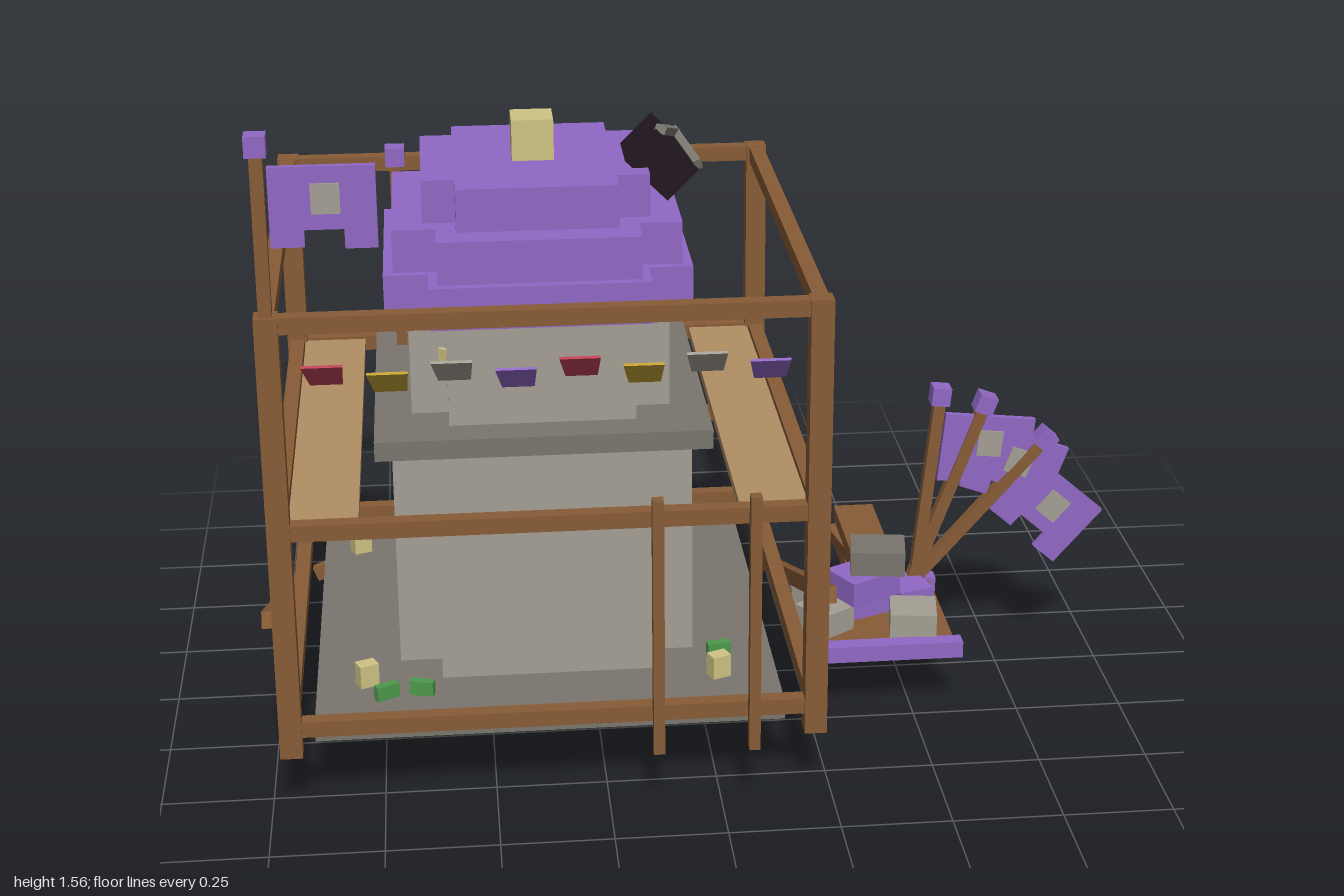
import * as THREE from 'three';

const mat = (name, color) => {
  const m = new THREE.MeshStandardMaterial({ color, side: THREE.DoubleSide, flatShading: true });
  m.name = name;
  return m;
};

export function createModel() {
  const wood = mat('wood', 0x875c36), plank = mat('light wood', 0xb18f64);
  const stone = mat('stone', 0xa49f94), slate = mat('dark stone', 0x7a766e);
  const purple = mat('purple', 0x9068c5), cream = mat('cream', 0xcfc383);
  const black = mat('black', 0x221820), red = mat('red', 0xbd4355);
  const gold = mat('gold', 0xc2a034), green = mat('green', 0x4f9a4c);

  const root = new THREE.Group();
  root.name = 'towerScaffold';
  const CX = -0.368, CZ = -0.025;

  const add = (name, geo, m, x = 0, y = 0, z = 0, parent = root) => {
    const mesh = new THREE.Mesh(geo, m);
    mesh.name = name;
    mesh.position.set(x, y, z);
    parent.add(mesh);
    return mesh;
  };
  const box = (name, m, w, h, d, x, y, z, parent) =>
    add(name, new THREE.BoxGeometry(w, h, d), m, x, y, z, parent);
  // Box given by its extents on each axis
  const span = (name, m, x0, x1, y0, y1, z0, z1) =>
    box(name, m, x1 - x0, y1 - y0, z1 - z0, (x0 + x1) / 2, (y0 + y1) / 2, (z0 + z1) / 2);
  // Straight bar between two points
  const bar = (name, m, p, q, w, d, parent) => {
    const a = new THREE.Vector3(...p), b = new THREE.Vector3(...q);
    const mid = a.clone().add(b).multiplyScalar(0.5), dir = b.sub(a);
    const mesh = box(name, m, w, dir.length(), d, mid.x, mid.y, mid.z, parent);
    mesh.quaternion.setFromUnitVectors(new THREE.Vector3(0, 1, 0), dir.normalize());
    return mesh;
  };
  const extrude = (pts, depth) => new THREE.ExtrudeGeometry(
    new THREE.Shape(pts.map(p => new THREE.Vector2(...p))), { depth, bevelEnabled: false });
  // Square tier with notched corners
  const tier = (name, m, h, n, y0, y1) => {
    const geo = extrude([[h, -n], [h, n], [n, n], [n, h], [-n, h], [-n, n],
      [-h, n], [-h, -n], [-n, -n], [-n, -h], [n, -h], [n, -n]], y1 - y0);
    geo.rotateX(-Math.PI / 2);
    add(name, geo, m, CX, y0, CZ);
  };

  // Tower
  span('basePlate', slate, -0.9, 0.155, 0.15, 0.195, -0.553, 0.507);
  tier('lowerBody', stone, 0.341, 0.245, 0.195, 0.757);
  span('ledge', slate, -0.745, 0.008, 0.755, 0.8, -0.4, 0.352);
  tier('upperBody', stone, 0.293, 0.21, 0.8, 1.045);
  tier('roofLower', purple, 0.344, 0.245, 1.045, 1.142);
  tier('roofMiddle', purple, 0.322, 0.225, 1.142, 1.24);
  tier('roofUpper', purple, 0.254, 0.18, 1.24, 1.338);
  box('roofFinial', cream, 0.095, 0.095, 0.095, CX, 1.385, CZ);
  box('cornerLight', cream, 0.022, 0.075, 0.009, CX - 0.218, 0.92, CZ + 0.218).rotation.y = -Math.PI / 4;
  span('backPole', wood, -0.695, -0.67, 0.8, 1.25, -0.285, -0.26);
  box('backPoleCap', purple, 0.045, 0.045, 0.045, -0.682, 1.273, -0.272);

  // Tilted box with a wedge mark on its upper face
  const crate = new THREE.Group();
  crate.name = 'tiltedBox';
  crate.position.set(-0.08, 1.345, 0.031);
  crate.rotation.z = -Math.PI / 4;
  root.add(crate);
  box('boxBody', black, 0.135, 0.1, 0.145, 0, -0.004, 0, crate);
  for (const s of [-1, 1]) {
    bar('boxMark', slate, [0, 0.052, -0.068], [s * 0.06, 0.052, 0.066], 0.026, 0.018, crate);
  }

  // Timber frame
  const X0 = -0.95, X1 = 0.215, Z0 = -0.603, Z1 = 0.557;
  for (const x of [X0, X1]) {
    for (const z of [Z0, Z1]) span('post', wood, x - 0.025, x + 0.025, 0.15, 1.18, z - 0.025, z + 0.025);
  }
  for (const y of [0.216, 0.688, 1.16]) {
    for (const x of [X0, X1]) bar('sideBeam', wood, [x, y, Z0], [x, y, Z1], 0.035, 0.037);
    for (const z of [Z0, Z1]) bar('crossBeam', wood, [X0, y, z], [X1, y, z], 0.037, 0.035);
  }
  span('leftWalkway', plank, -0.93, -0.78, 0.678, 0.7, -0.59, 0.54);
  span('rightWalkway', plank, 0.045, 0.195, 0.678, 0.7, -0.59, 0.54);
  for (const x of [-0.987, 0.25]) bar('sideBrace', wood, [x, 0.472, 0.54], [x, 0.024, -0.59], 0.025, 0.038);
  bar('backBrace', wood, [-0.94, 0.024, -0.641], [0.185, 0.472, -0.641], 0.038, 0.025);
  for (const x of [-0.142, 0.07]) box('frontStake', wood, 0.025, 0.61, 0.028, x, 0.455, 0.63);

  // Flag on a capped pole
  const flagPole = (name, length, x, y, z, tilt) => {
    const g = new THREE.Group();
    g.name = name;
    g.position.set(x, y, z);
    g.rotation.z = tilt;
    root.add(g);
    box('pole', wood, 0.028, length, 0.028, 0, length / 2, 0, g);
    box('poleCap', purple, 0.045, 0.045, 0.045, 0, length + 0.022, 0, g);
    const cloth = extrude([[0.02, 0], [0.24, 0], [0.24, -0.177], [0.172, -0.177],
      [0.172, -0.135], [0.09, -0.135], [0.09, -0.172], [0.02, -0.172]], 0.016);
    add('flagCloth', cloth, purple, 0, length - 0.025, -0.008, g);
    for (const s of [-1, 1]) {
      box('flagPatch', stone, 0.06, 0.065, 0.004, 0.136, length - 0.093, s * 0.01, g);
    }
  };
  flagPole('cornerFlag', 0.345, -0.95, 1.18, 0.557, 0);
  flagPole('leaningFlagA', 0.46, 0.545, 0.235, -0.022, -0.1);
  flagPole('leaningFlagB', 0.462, 0.537, 0.235, -0.022, -0.35);
  flagPole('leaningFlagC', 0.445, 0.547, 0.238, -0.022, -0.715);

  // Bunting
  const colours = [red, gold, stone, purple];
  for (let i = 0; i < 8; i++) {
    const geo = extrude([[-0.043, 0.043], [0.043, 0.043], [0.04, -0.043], [-0.028, -0.043]], 0.006);
    const p = add('pennant', geo, colours[i % 4], -0.836 + i * 0.133, i % 2 ? 1.05 : 1.07, 0.62);
    p.rotation.x = Math.PI / 4;
  }

  // Side platform with a heap of blocks and boards
  span('platformFloor', wood, 0.25, 0.6, 0.16, 0.182, -0.12, 0.22);
  span('platformRail', purple, 0.25, 0.615, 0.15, 0.19, -0.145, -0.108);
  span('platformRail', purple, 0.25, 0.615, 0.15, 0.19, 0.21, 0.25);
  const heap = [
    [stone, 0.3, 0.215, 0.13, 0.1, 0.06, 0.1, 0.6],
    [stone, 0.31, 0.215, -0.01, 0.1, 0.06, 0.1, 0.75],
    [stone, 0.51, 0.215, 0.155, 0.11, 0.06, 0.11, -0.15],
    [purple, 0.52, 0.215, 0.025, 0.09, 0.06, 0.1, 0.3],
    [purple, 0.4, 0.215, 0.03, 0.11, 0.06, 0.11, 0.4],
    [purple, 0.4, 0.28, 0.08, 0.14, 0.06, 0.11, 0.5],
    [purple, 0.46, 0.28, 0.01, 0.06, 0.055, 0.08, -0.3],
    [slate, 0.434, 0.345, 0.077, 0.13, 0.06, 0.11, -0.15],
  ];
  for (const [m, x, y, z, w, h, d, turn] of heap) box('heapBlock', m, w, h, d, x, y, z).rotation.y = turn;
  bar('looseBoard', wood, [0.45, 0.252, 0], [0.45, 0.252, -0.39], 0.1, 0.036);
  bar('looseBoard', wood, [0.46, 0.212, -0.03], [0.4, 0.212, -0.365], 0.04, 0.04);
  bar('looseBoard', wood, [0.45, 0.17, -0.1], [0.45, 0.17, -0.38], 0.09, 0.038);

  // Small plants on the base
  for (const [x, z] of [[-0.785, 0.33], [0.02, 0.365], [-0.81, -0.4]]) {
    box('bud', cream, 0.045, 0.055, 0.035, x, 0.222, z).rotation.y = 0.4;
  }
  for (const [x, z, turn] of [[-0.74, 0.4, 0.5], [-0.66, 0.39, -0.3], [0.03, 0.265, 0.2]]) {
    box('leaf', green, 0.055, 0.035, 0.02, x, 0.212, z).rotation.y = turn;
  }
  return root;
}
